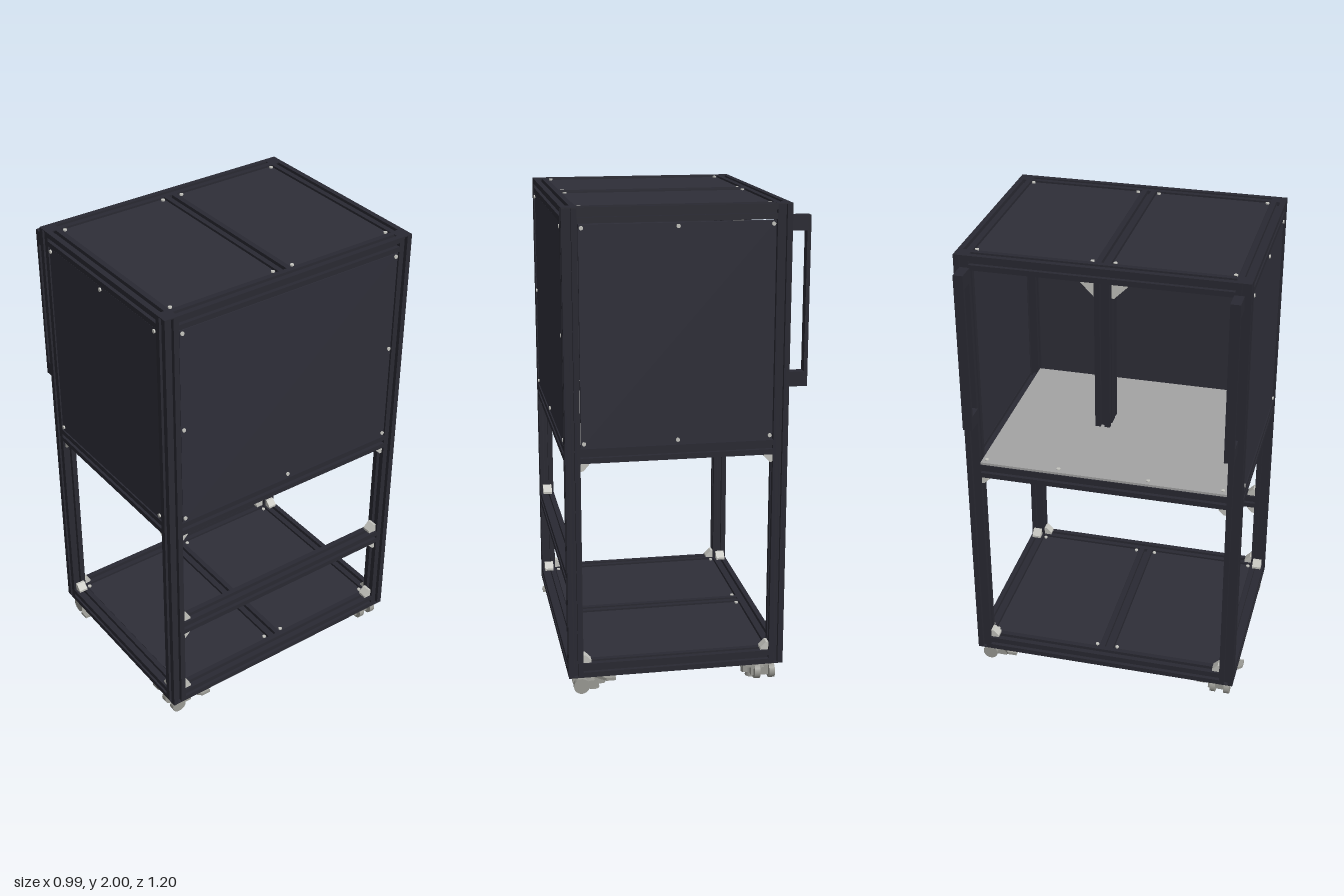
import * as THREE from 'three';

const mat = (name, color) => Object.assign(new THREE.MeshStandardMaterial({ color }), { name });

export function createModel() {
  const frameMat = mat('dark anodised frame', 0x292932);
  const panelMat = mat('slate panel', 0x2e2e38);
  const shelfMat = mat('grey shelf', 0xa3a3a3);
  const metalMat = mat('light bracket metal', 0xc4c4be);
  const casterMat = mat('caster grey', 0x9a9a94);

  const root = new THREE.Group();
  root.name = 'equipmentCabinet';
  const add = (name, geo, material, x = 0, y = 0, z = 0, parent = root) => {
    const m = new THREE.Mesh(geo, material);
    m.name = name;
    m.position.set(x, y, z);
    parent.add(m);
    return m;
  };
  const box = (name, m, x0, x1, y0, y1, z0, z1, parent) =>
    add(name, new THREE.BoxGeometry(x1 - x0, y1 - y0, z1 - z0), m,
      (x0 + x1) / 2, (y0 + y1) / 2, (z0 + z1) / 2, parent);

  // Main dimensions
  const T = 0.06, H = T / 2;
  const XL = -0.41, XR = 0.485, ZE = 0.58, Y0 = 0.09, Y1 = 2;
  const xl = XL + T, xr = XR - T, ze = ZE - T, xm = (XL + XR) / 2;

  // Slotted profile section, one groove per face
  const profile = (w, h) => {
    const s = 0.008, d = 0.016, pts = [];
    for (let i = 0; i < 4; i++) {
      const a = (i % 2 ? h : w) / 2, b = (i % 2 ? w : h) / 2;
      const n = Math.round(b * 2 / T);
      const local = [[a, -b]];
      for (let k = 0; k < n; k++) {
        const c = -b + T * (k + 0.5);
        local.push([a, c - s], [a - d, c - s], [a - d, c + s], [a, c + s]);
      }
      const q = i * Math.PI / 2, co = Math.round(Math.cos(q)), si = Math.round(Math.sin(q));
      local.forEach(([x, y]) => pts.push(new THREE.Vector2(x * co - y * si, x * si + y * co)));
    }
    return new THREE.Shape(pts);
  };
  const beam = (name, axis, len, x, y, z, w = T, h = T) => {
    const g = new THREE.ExtrudeGeometry(profile(w, h), { depth: len, bevelEnabled: false });
    g.translate(0, 0, -len / 2);
    if (axis === 'x') g.rotateY(Math.PI / 2);
    if (axis === 'y') g.rotateX(Math.PI / 2);
    return add(name, g, frameMat, x, y, z);
  };

  // Corner posts with end caps
  for (const x of [XL + H, XR - H]) for (const z of [-ZE + H, ZE - H]) {
    beam('cornerPost', 'y', Y1 - Y0 - 0.008, x, (Y0 + Y1) / 2, z);
    for (const y of [Y0, Y1 - 0.004]) box('postCap', frameMat, x - H, x + H, y, y + 0.004, z - H, z + H);
  }

  // Horizontal rails on three levels, plus the side brace
  for (const y of [Y0 + H, 1 + H, Y1 - H]) {
    for (const s of [-1, 1]) {
      beam('crossRail', 'x', xr - xl, xm, y, s * (ZE - H));
      beam('sideRail', 'z', 2 * ze, s < 0 ? XL + H : XR - H, y, 0);
    }
  }
  beam('sideBrace', 'z', 2 * ze, XR - H, 0.505, 0);
  for (const [y, z] of [[Y0 + H, 0], [Y1 - H, 0], [1 + H, -0.19], [1 + H, 0.19]])
    beam('middleRail', 'x', xr - xl, xm, y, z);

  // Screws, pointing along an axis
  const screw = (axis, x, y, z) => {
    const g = new THREE.CylinderGeometry(0.008, 0.008, 0.012, 12);
    if (axis === 'x') g.rotateZ(Math.PI / 2);
    if (axis === 'z') g.rotateX(Math.PI / 2);
    add('screw', g, metalMat, x, y, z);
  };

  // Front and back panels
  const gap = 0.004, pTop = 1.935, sx = [xl + 0.015, xr - 0.015];
  for (const s of [-1, 1]) {
    const zo = s * (ZE - 0.004), zi = s * (ZE - 0.022);
    box(s > 0 ? 'frontPanel' : 'backPanel', panelMat, xl + gap, xr - gap, 1.063, pTop,
      Math.min(zo, zi), Math.max(zo, zi));
    for (const x of sx) for (const y of [1.08, 1.922]) screw('z', x, y, zo);
    screw('z', xm, 1.922, zo);
    if (s < 0) screw('z', xm, 1.08, zo);
  }

  // Closed side panel
  box('sidePanel', panelMat, XR - 0.022, XR - 0.004, 1.063, pTop, -ze + gap, ze - gap);
  for (const z of [-0.505, 0.505]) for (const y of [1.08, 1.5, 1.922]) screw('x', XR - 0.004, y, z);
  screw('x', XR - 0.004, 1.08, 0);

  // Paired roof and floor panels
  for (const [name, y] of [['roofPanel', Y1 - 0.006], ['floorPanel', Y0 + T - 0.006]])
    for (const s of [-1, 1]) {
      const a = s * (H + gap), b = s * (ze - gap);
      box(name, panelMat, xl + gap, xr - gap, y - 0.02, y, Math.min(a, b), Math.max(a, b));
      for (const x of sx) for (const z of [0.045, 0.507]) screw('y', x, y, s * z);
    }

  // Light work shelf
  box('workShelf', shelfMat, XL + 0.004, XR - 0.03, 1.06, 1.07, -ze, ze);
  for (const z of [-0.5, -0.19, 0.19, 0.5]) screw('y', XL + 0.03, 1.068, z);

  // Triangular corner bracket filling the angle between two directions
  const gusset = (x, y, z, a, b, size = 0.04) => {
    const s = new THREE.Shape([[0, 0], [size, 0], [size, 0.01], [0.01, size], [0, size]]
      .map(p => new THREE.Vector2(...p)));
    const g = new THREE.ExtrudeGeometry(s, { depth: 0.04, bevelEnabled: false });
    g.translate(0, 0, -0.02);
    const A = new THREE.Vector3(...a), B = new THREE.Vector3(...b);
    g.applyMatrix4(new THREE.Matrix4().makeBasis(A, B, A.clone().cross(B)));
    add('cornerBracket', g, metalMat, x, y, z);
  };
  for (const sz of [-1, 1]) {
    for (const sxn of [-1, 1]) {
      const xi = sxn < 0 ? xl : xr, xc = sxn < 0 ? XL + H : XR - H;
      for (const [y, d] of [[Y0 + T, 1], [1, -1]]) {
        gusset(xi, y, sz * (ZE - H), [-sxn, 0, 0], [0, d, 0], 0.034);
        gusset(xc, y, sz * ze, [0, 0, -sz], [0, d, 0], 0.034);
      }
    }
    for (const [y, d] of [[0.535, 1], [0.475, -1]])
      gusset(XR - H, y, sz * ze, [0, 0, -sz], [0, d, 0], 0.036);
  }
  for (const [y, z] of [[Y0 + 0.022, 0], [1.022, -0.19], [1.022, 0.19]])
    gusset(xl, y, z + H, [1, 0, 0], [0, 0, 1]);

  // Hanging mast in the open side, with its roof brackets
  const mx = -0.32;
  beam('hangingMast', 'y', 0.64, mx, 1.62, 0, 0.12, T);
  for (const s of [-1, 1]) gusset(mx, 1.94, s * H, [0, 0, s], [0, -1, 0], 0.09);

  // Pull handles beside the opening
  for (const z of [-0.535, 0.535]) {
    const handle = new THREE.Group();
    handle.name = 'pullHandle';
    root.add(handle);
    box('grip', frameMat, -0.49, -0.475, 1.27, 1.95, z - 0.02, z + 0.02, handle);
    for (const y of [1.27, 1.89])
      box('handleMount', frameMat, -0.478, XL, y, y + T, z - 0.02, z + 0.02, handle);
  }

  // Levelling casters, mirrored to the four corners
  const plateShape = new THREE.Shape([[-0.08, 0.08], [-0.08, 0.04], [0.06, -0.1], [0.1, -0.1],
    [0.1, -0.06], [-0.04, 0.08]].map(p => new THREE.Vector2(...p)));
  for (const sxn of [-1, 1]) for (const sz of [-1, 1]) {
    const c = new THREE.Group();
    c.name = 'levellingCaster';
    c.position.set(sxn < 0 ? -0.32 : 0.395, 0, sz * 0.5);
    c.rotation.y = Math.atan2(sxn, sz) - Math.PI / 4;
    root.add(c);
    const plate = new THREE.ExtrudeGeometry(plateShape, { depth: 0.012, bevelEnabled: false });
    plate.rotateX(Math.PI / 2);
    add('mountPlate', plate, casterMat, 0, 0.09, 0, c);
    add('swivel', new THREE.CylinderGeometry(0.045, 0.05, 0.02, 20), casterMat, 0, 0.07, 0, c);
    box('forkBody', casterMat, -0.035, 0.045, 0.025, 0.07, -0.035, 0.045, c);
    for (const k of [-0.012, 0.05]) {
      const wheel = new THREE.CylinderGeometry(0.033, 0.033, 0.024, 20);
      wheel.rotateZ(Math.PI / 2);
      add('wheel', wheel, casterMat, k, 0.043, 0.036, c);
    }
    add('foot', new THREE.CylinderGeometry(0.022, 0.026, 0.03, 20), casterMat, -0.02, 0.015, -0.02, c);
    // Toothed adjusting ring
    const ring = new THREE.Shape(Array.from({ length: 20 }, (_, i) => {
      const r = i % 4 < 2 ? 0.052 : 0.038, t = i / 20 * Math.PI * 2;
      return new THREE.Vector2(r * Math.cos(t), r * Math.sin(t));
    }));
    const rg = new THREE.ExtrudeGeometry(ring, { depth: 0.022, bevelEnabled: false });
    rg.rotateX(Math.PI / 2);
    add('adjustingRing', rg, casterMat, -0.02, 0.048, -0.02, c);
  }
  return root;
}
